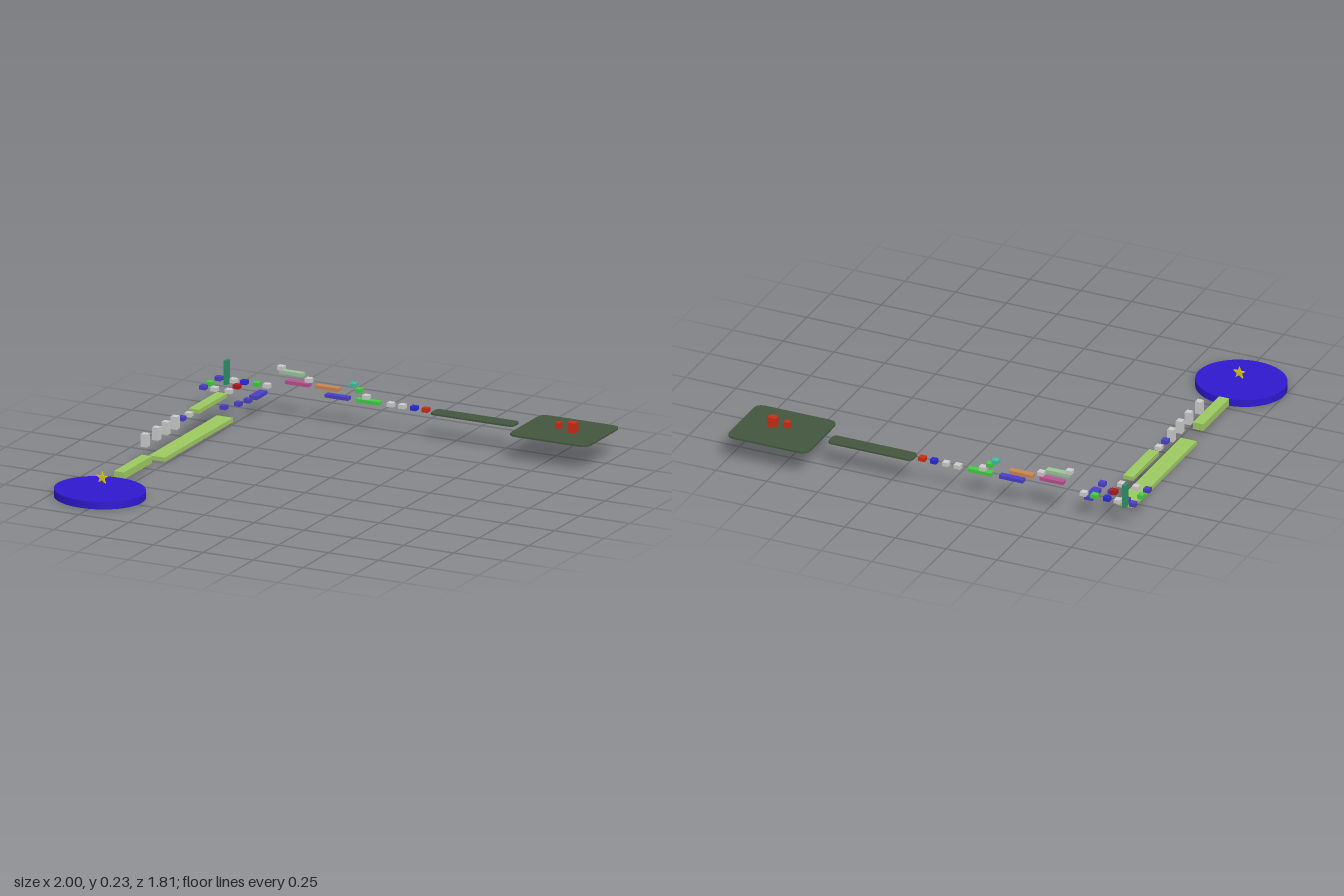
import * as THREE from 'three';

const C = {
  disc: 0x2e18cc, blue: 0x4a3fc4, deepBlue: 0x2a2ad0, lime: 0x9cc860, pale: 0x9cc49a, grey: 0xcccccc,
  green: 0x44cc44, teal: 0x2f8f6b, aqua: 0x3fc0a0, pink: 0xb85090, orange: 0xc98552,
  red: 0xcc2c14, darkRed: 0xb01818, moss: 0x42563e, yellow: 0xd8c820,
};

export function createModel() {
  const model = new THREE.Group();

  const add = (name, geo, color, x, y, z) => {
    const mesh = new THREE.Mesh(geo, new THREE.MeshStandardMaterial({ color }));
    mesh.name = name;
    mesh.position.set(x, y, z);
    model.add(mesh);
    return mesh;
  };
  // Box given by its extents on each axis
  const span = (name, color, [x0, x1], [y0, y1], [z0, z1]) =>
    add(name, new THREE.BoxGeometry(x1 - x0, y1 - y0, z1 - z0), color,
      (x0 + x1) / 2, (y0 + y1) / 2, (z0 + z1) / 2);
  // Small floating stepping block
  const step = (color, x, y, z) => add('steppingBlock', new THREE.BoxGeometry(0.03, 0.019, 0.03), color, x, y, z);
  // Thin horizontal slab with rounded corners
  const slab = (name, w, d, r, x, y, z) => {
    const a = w / 2, b = d / 2, s = new THREE.Shape();
    s.moveTo(-a + r, -b).lineTo(a - r, -b).quadraticCurveTo(a, -b, a, -b + r)
      .lineTo(a, b - r).quadraticCurveTo(a, b, a - r, b)
      .lineTo(-a + r, b).quadraticCurveTo(-a, b, -a, b - r)
      .lineTo(-a, -b + r).quadraticCurveTo(-a, -b, -a + r, -b);
    const geo = new THREE.ExtrudeGeometry(s, { depth: 0.008, bevelEnabled: false, curveSegments: 6 });
    geo.rotateX(-Math.PI / 2);
    add(name, geo, C.moss, x, y, z);
  };

  // Starting island with a star
  const disc = add('startIsland', new THREE.CylinderGeometry(1, 1, 0.035, 64), C.disc, -0.79, 0.0175, 0.716);
  disc.scale.set(0.21, 1, 0.19);
  const star = new THREE.Shape();
  for (let i = 0; i < 10; i++) {
    const r = i % 2 ? 0.012 : 0.03, t = Math.PI / 2 + i * Math.PI / 5;
    star[i ? 'lineTo' : 'moveTo'](r * Math.cos(t), r * Math.sin(t));
  }
  star.closePath();
  add('star', new THREE.ExtrudeGeometry(star, { depth: 0.008, bevelEnabled: false }), C.yellow, -0.79, 0.082, 0.69);

  // Walkways leading to the back
  span('entryWalkway', C.lime, [-0.83, -0.78], [0.02, 0.053], [0.225, 0.5]);
  span('longWalkway', C.lime, [-0.845, -0.765], [0, 0.02], [-0.545, 0.125]);
  span('upperWalkway', C.lime, [-0.83, -0.78], [0.121, 0.14], [-0.515, -0.24]);

  // Pillars and blocks above the long walkway
  for (const z of [0.24, 0.127, 0.035, -0.055])
    span('pillar', C.grey, [-0.82, -0.79], [0.1, 0.16], [z - 0.015, z + 0.015]);
  step(C.blue, -0.805, 0.13, -0.122);
  step(C.grey, -0.805, 0.13, -0.19);

  // Corner ring of stepping blocks
  const corner = [
    [C.blue, -0.93, 0.13, -0.58], [C.grey, -0.875, 0.13, -0.58], [C.grey, -0.803, 0.13, -0.58],
    [C.blue, -0.825, 0.053, -0.575], [C.blue, -0.753, 0.079, -0.575], [C.blue, -0.702, 0.104, -0.567],
    [C.green, -0.93, 0.13, -0.645], [C.darkRed, -0.802, 0.13, -0.658],
    [C.blue, -0.93, 0.13, -0.73], [C.grey, -0.855, 0.13, -0.73], [C.deepBlue, -0.802, 0.13, -0.73],
    [C.green, -0.74, 0.13, -0.73], [C.grey, -0.688, 0.13, -0.73],
  ];
  for (const block of corner) step(...block);
  span('cornerBar', C.blue, [-0.722, -0.682], [0.093, 0.11], [-0.72, -0.617]);
  span('cornerWall', C.teal, [-0.898, -0.883], [0.108, 0.222], [-0.746, -0.714]);

  // Floating bars along the back: colour, x start, height
  const bars = [
    [C.pale, -0.62, 0.207], [C.pink, -0.59, 0.163], [C.orange, -0.44, 0.163],
    [C.blue, -0.392, 0.128], [C.green, -0.236, 0.128],
  ];
  for (const [color, x, y] of bars)
    span('floatingBar', color, [x, x + 0.116], [y - 0.008, y + 0.008], [-0.745, -0.715]);

  // Blocks between the bars and on to the far side
  const blocks = [
    [C.grey, -0.617, 0.224], [C.grey, -0.478, 0.186], [C.aqua, -0.253, 0.195], [C.green, -0.226, 0.173],
    [C.grey, -0.191, 0.148], [C.grey, -0.067, 0.13], [C.grey, -0.009, 0.13],
    [C.deepBlue, 0.05, 0.13], [C.red, 0.107, 0.13],
  ];
  for (const [color, x, y] of blocks) step(color, x, y, -0.73);

  // Bridge and final platform with two red crates
  slab('bridge', 0.417, 0.075, 0.025, 0.353, 0.122, -0.73);
  slab('finalPlatform', 0.4, 0.337, 0.045, 0.797, 0.122, -0.737);
  span('smallCrate', C.red, [0.76, 0.787], [0.14, 0.168], [-0.741, -0.717]);
  span('largeCrate', C.red, [0.825, 0.863], [0.13, 0.177], [-0.746, -0.712]);

  return model;
}
